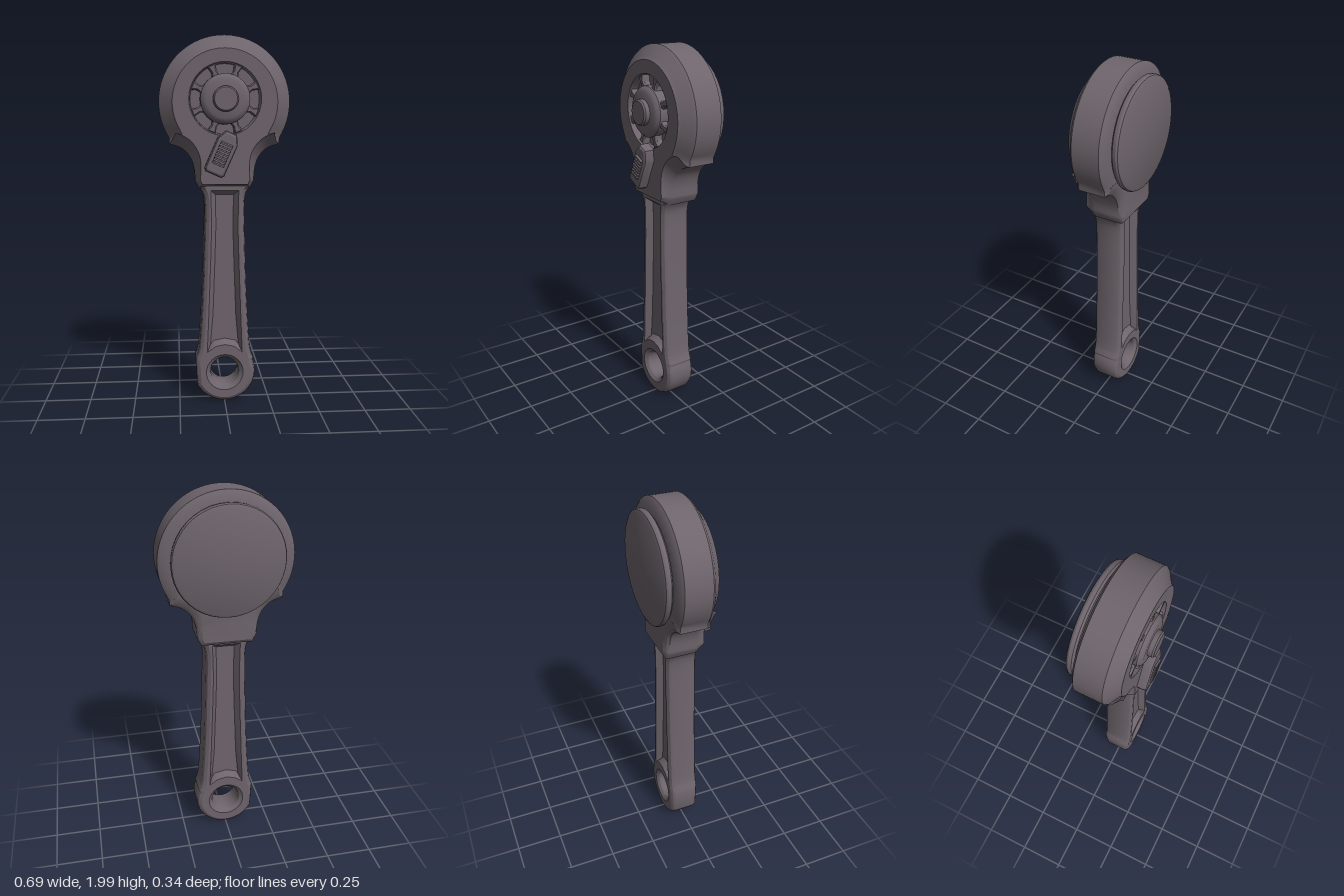
import * as THREE from 'three';
import { mergeGeometries, toCreasedNormals } from 'three/addons/utils/BufferGeometryUtils.js';

const V = (x, y) => new THREE.Vector2(x, y);

// Move a closed contour to its left (inward when counter-clockwise)
function offset(pts, d, scale = () => 1) {
  const n = pts.length;
  return pts.map((p, i) => {
    const a = p.clone().sub(pts[(i + n - 1) % n]).normalize();
    const b = pts[(i + 1) % n].clone().sub(p).normalize();
    const m = V(-a.y - b.y, a.x + b.x).normalize();
    const k = d * scale(p) / Math.max(0.6, m.x * -a.y + m.y * a.x);
    return V(p.x + m.x * k, p.y + m.y * k);
  });
}

// Side wall through layers [inset, z], ordered from back to front
function wall(pts, layers, scale) {
  const rings = layers.map(([d, z]) => offset(pts, d, scale).map(p => [p.x, p.y, z]));
  const pos = [], n = pts.length;
  for (let k = 0; k + 1 < rings.length; k++) {
    for (let i = 0; i < n; i++) {
      const j = (i + 1) % n, a = rings[k], b = rings[k + 1];
      pos.push(...a[i], ...a[j], ...b[j], ...a[i], ...b[j], ...b[i]);
    }
  }
  return new THREE.BufferGeometry().setAttribute('position', new THREE.Float32BufferAttribute(pos, 3));
}

// Flat face at height z with optional holes, facing front or back
function cap(pts, z, back = false, holes = []) {
  const shape = new THREE.Shape(pts);
  shape.holes = holes.map(h => new THREE.Path(h));
  const g = new THREE.ShapeGeometry(shape).translate(0, 0, z);
  if (back) g.index.array.reverse();
  const flat = g.toNonIndexed();
  flat.deleteAttribute('uv');
  flat.deleteAttribute('normal');
  return flat;
}

const join = parts => toCreasedNormals(mergeGeometries(parts), 0.5);

// Arc points, angles in degrees
function arc(cx, cy, r, from, to, n) {
  return Array.from({ length: n + 1 }, (_, i) => {
    const a = THREE.MathUtils.degToRad(from + (to - from) * i / n);
    return V(cx + r * Math.cos(a), cy + r * Math.sin(a));
  });
}
const circle = (cx, cy, r, n) => arc(cx, cy, r, 0, 360, n).slice(0, n);
const mirror = pts => pts.map(p => V(-p.x, p.y)).reverse();
const spline = (list, n) => new THREE.SplineCurve(list.map(([x, y]) => V(x, y))).getPoints(n);

export function createModel() {
  const model = new THREE.Group();
  const steel = new THREE.MeshStandardMaterial({ color: 0x6e656c });
  steel.name = 'dark steel';
  const add = (name, geo, parent = model) => {
    const m = new THREE.Mesh(geo, steel);
    m.name = name;
    parent.add(m);
    return m;
  };
  const CY = 1.67;

  // Handle: flared bar ending in a hanging ring
  const side = spline([[0.16, 0.25], [0.144, 0.3], [0.134, 0.4], [0.12, 0.65], [0.11, 0.95],
    [0.107, 1.1], [0.115, 1.17], [0.14, 1.215]], 24);
  const handle = [...arc(0, 0.175, 0.17, -154, 22, 32), ...side, ...mirror(side)];
  const eye = circle(0, 0.175, 0.077, 32).reverse();
  const slotEdge = [V(0.097, 0.29), V(0.088, 0.5), V(0.077, 0.8), V(0.071, 1.0), V(0.075, 1.19)];
  const slot = [V(-0.05, 0.325), V(0, 0.335), V(0.05, 0.325), ...slotEdge, ...mirror(slotEdge)].reverse();
  const body = [
    wall(handle, [[0.024, -0.09], [0.008, -0.08], [0, -0.065], [0, 0.05], [0.008, 0.066], [0.024, 0.076]]),
    wall(eye, [[0.025, -0.09], [0.006, -0.075], [0, -0.06], [0, 0.046], [0.006, 0.061], [0.025, 0.076]]),
  ];
  for (const back of [false, true]) {
    const rim = back ? -0.09 : 0.076, floor = back ? -0.055 : 0.041;
    const inner = offset(slot, -0.025);
    const steps = [[-0.025, floor], [0, rim]];
    body.push(
      cap(offset(handle, 0.024), rim, back, [offset(eye, 0.025), slot]),
      wall(slot, back ? steps.reverse() : steps),
      cap(inner, floor, back));
  }
  add('handle', join(body));

  // Head: round housing that narrows into the neck, wide chamfer in front
  const neck = spline([[0.157, 1.24], [0.163, 1.31], [0.185, 1.37], [0.23, 1.415], [0.293, 1.437]], 14);
  const head = [V(-0.135, 1.2), V(0.135, 1.2), ...neck,
    ...arc(0, 1.653, 0.347, -32, 212, 56), ...mirror(neck)];
  const taper = p => 0.35 + 0.65 * THREE.MathUtils.smoothstep(p.y, 1.22, 1.5);
  const well = circle(0, CY, 0.19, 40).reverse();
  add('head', join([
    wall(head, [[0.07, -0.125], [0.018, -0.113], [0, -0.1], [0, 0.045], [0.01, 0.058],
      [0.06, 0.09], [0.072, 0.105]], taper),
    cap(offset(head, 0.07, taper), -0.125, true),
    cap(offset(head, 0.072, taper), 0.105, false, [well]),
    wall(well, [[-0.008, 0.06], [-0.004, 0.098], [0, 0.105]]),
    cap(offset(well, -0.008), 0.06),
  ]));

  // Turned parts, profile given as [radius, z]
  const turned = (name, profile, y) => {
    const g = new THREE.LatheGeometry(profile.map(([r, z]) => V(r, z)), 40).rotateX(Math.PI / 2);
    g.deleteAttribute('normal');
    g.deleteAttribute('uv');
    const m = add(name, toCreasedNormals(g, 0.5));
    m.position.y = y;
  };
  turned('backCover', [[0, -0.171], [0.272, -0.171], [0.285, -0.165], [0.29, -0.155], [0.288, -0.138],
    [0.278, -0.129], [0.25, -0.129], [0.25, -0.11]], 1.66);
  turned('hub', [[0.132, 0.05], [0.13, 0.108], [0.118, 0.122], [0.1, 0.129], [0, 0.129]], CY);
  turned('driveButton', [[0.066, 0.12], [0.066, 0.152], [0.059, 0.16], [0, 0.16]], CY);

  // Ribs that divide the ring around the hub into pockets
  const ribs = new THREE.Group();
  ribs.name = 'ribs';
  ribs.position.y = CY;
  const ribShape = [V(0.11, -0.026), V(0.15, -0.014), V(0.187, -0.024), V(0.187, 0.024), V(0.15, 0.014), V(0.11, 0.026)];
  const ribGeo = join([wall(ribShape, [[0, 0.055], [0, 0.09], [0.006, 0.1]]), cap(offset(ribShape, 0.006), 0.1)]);
  for (let i = 0; i < 8; i++) add('rib', ribGeo, ribs).rotation.z = (i + 0.5) * Math.PI / 4;
  model.add(ribs);

  // Direction lever with a ribbed thumb pad
  const lever = new THREE.Group();
  lever.name = 'lever';
  lever.position.set(-0.018, 1.385, 0);
  lever.rotation.z = -0.42;
  const plate = [V(-0.045, -0.115), V(0.045, -0.115), V(0.056, -0.1), V(0.056, 0.07), V(0.03, 0.122),
    V(-0.03, 0.122), V(-0.056, 0.07), V(-0.056, -0.1)];
  const pad = [V(-0.033, -0.06), V(0.033, -0.06), V(0.033, 0.062), V(-0.033, 0.062)].reverse();
  add('leverPlate', join([
    wall(plate, [[0, 0.1], [0, 0.14], [0.005, 0.152], [0.014, 0.157]]),
    cap(offset(plate, 0.014), 0.157, false, [pad]),
    wall(pad, [[0, 0.142], [0, 0.157]]),
    cap(pad, 0.142),
  ]), lever);
  for (let i = 0; i < 7; i++) {
    add('gripRidge', new THREE.BoxGeometry(0.064, 0.009, 0.028), lever).position.set(0, -0.05 + i * 0.0172, 0.153);
  }
  model.add(lever);

  return model;
}
